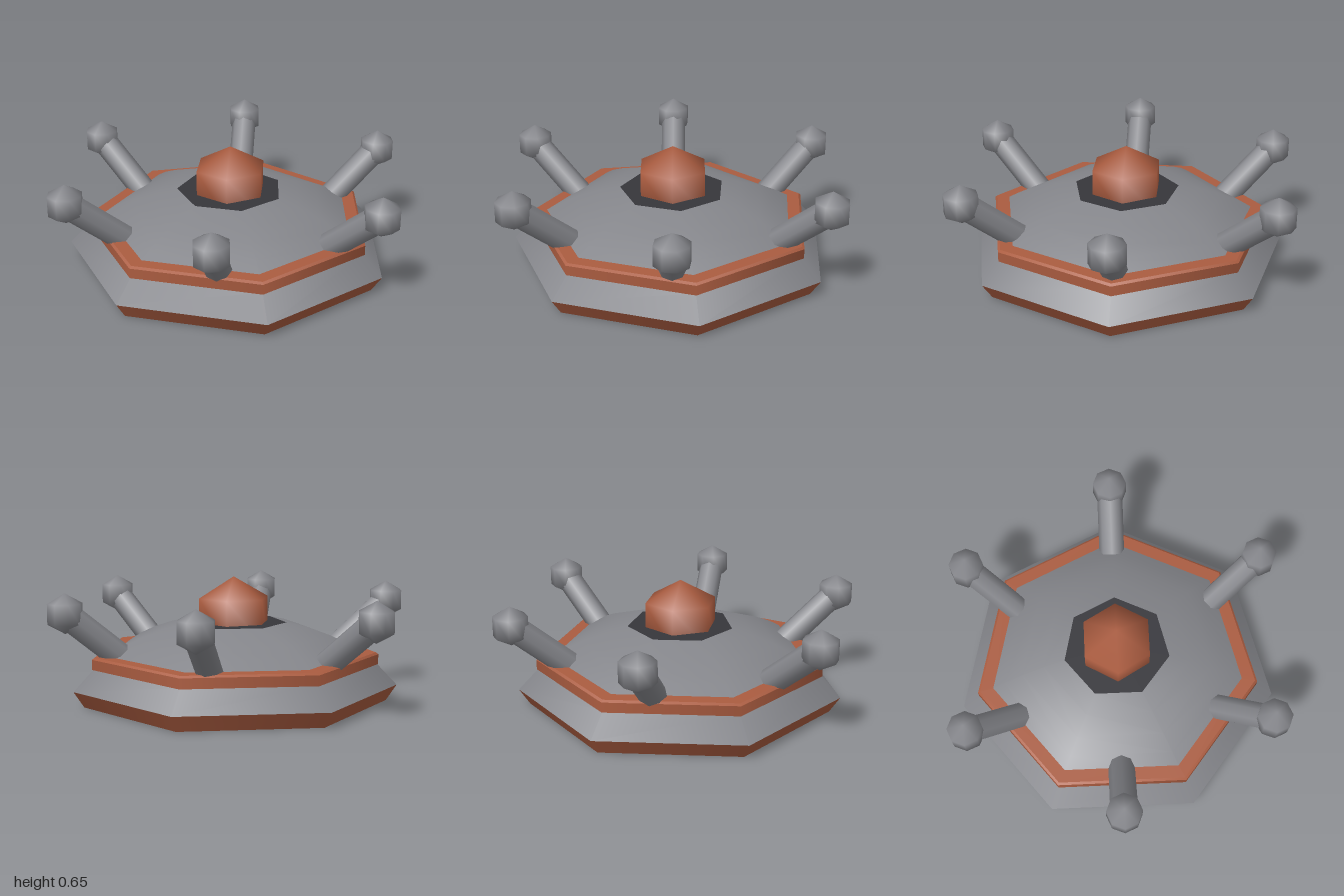
import * as THREE from 'three';

const mat = (name, color) => Object.assign(new THREE.MeshStandardMaterial({ color }), { name });

export function createModel() {
  const grey = mat('grey metal', 0x85868b);
  const rust = mat('rust orange', 0xaa5c40);
  const dark = mat('dark panel', 0x36363b);
  const model = new THREE.Group();
  const SIDES = 7;

  const add = (name, geometry, material, parent = model) => {
    const mesh = new THREE.Mesh(geometry, material);
    mesh.name = name;
    parent.add(mesh);
    return mesh;
  };

  // Seven-sided sloping wall with a corner on +x
  const wall = (name, r0, y0, r1, y1, material) => {
    const g = new THREE.CylinderGeometry(r1, r0, y1 - y0, SIDES, 1, true, Math.PI / 2);
    add(name, g, material).position.y = (y0 + y1) / 2;
  };

  // Hull and its raised band
  wall('lowerSkirt', 0.82, 0, 0.875, 0.085, rust);
  wall('upperSkirt', 0.875, 0.085, 0.765, 0.2, grey);
  wall('bandSide', 0.775, 0.195, 0.775, 0.248, rust);
  wall('bandBevel', 0.775, 0.248, 0.762, 0.258, rust);
  wall('bandTop', 0.762, 0.258, 0.68, 0.26, rust);
  add('underside', new THREE.CircleGeometry(0.82, SIDES).rotateX(Math.PI / 2), dark);

  // Shallow dome with a flat dark deck
  const profile = [[0.715, 0.245], [0.62, 0.3], [0.52, 0.345], [0.4, 0.385], [0.285, 0.411]]
    .map(([r, y]) => new THREE.Vector2(r, y));
  add('dome', new THREE.LatheGeometry(profile, SIDES, Math.PI / 2), grey);
  add('deck', new THREE.CircleGeometry(0.285, SIDES).rotateX(-Math.PI / 2), dark).position.y = 0.411;

  // Faceted knob in the centre
  add('knob', new THREE.SphereGeometry(0.225, 6, 3), rust).position.y = 0.43;

  // Six slanted arms with ball tips
  const root = new THREE.Vector2(0.55, 0.195), tip = new THREE.Vector2(0.908, 0.495);
  const slope = tip.clone().sub(root);
  for (let i = 0; i < 6; i++) {
    const angle = i * Math.PI / 3;
    const arm = new THREE.Group();
    arm.name = `arm${i + 1}`;
    arm.rotation.y = angle;
    model.add(arm);
    const rod = add('rod', new THREE.CylinderGeometry(0.07, 0.07, slope.length(), 8), grey, arm);
    rod.position.set((root.x + tip.x) / 2, (root.y + tip.y) / 2, 0);
    rod.rotation.z = slope.angle() - Math.PI / 2;
    const ball = add('ballTip', new THREE.SphereGeometry(0.105, 8, 3), grey, arm);
    ball.position.set(tip.x, tip.y, 0);
    ball.rotation.y = -angle;
  }
  return model;
}
